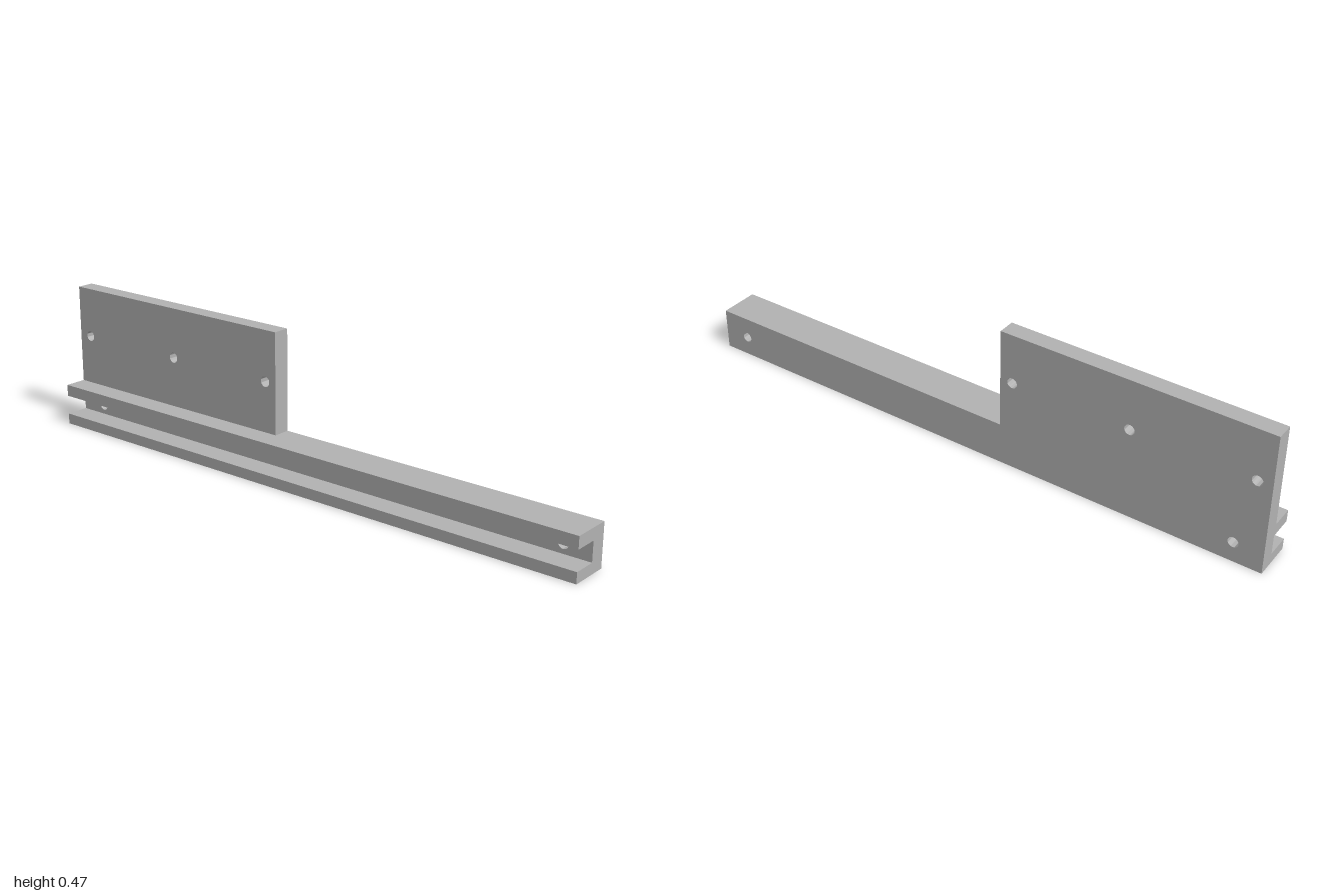
import * as THREE from 'three';
import { toCreasedNormals } from 'three/addons/utils/BufferGeometryUtils.js';

const RIGHT = 0.0655;        // outer face of web and plate
const WEB_INNER = 0.0125;    // bottom of the channel groove
const PLATE_INNER = 0.009;   // inner face of the raised plate
const RAIL_TOP = 0.139;
const HOLE_RADIUS = 0.017;

export function createModel() {
  const group = new THREE.Group();
  group.name = 'mountingRail';
  const grey = new THREE.MeshStandardMaterial({ color: 0xb2b2b2 });
  grey.name = 'grey metal';

  const add = (name, geometry) => {
    const mesh = new THREE.Mesh(geometry, grey);
    mesh.name = name;
    group.add(mesh);
    return mesh;
  };

  // Upright slab in the z-y plane, drilled through along x; holes are [z, y]
  const drilledSlab = (name, zBack, zFront, yLow, yHigh, xInner, holes) => {
    const shape = new THREE.Shape([
      new THREE.Vector2(-zFront, yLow),
      new THREE.Vector2(-zBack, yLow),
      new THREE.Vector2(-zBack, yHigh),
      new THREE.Vector2(-zFront, yHigh),
    ]);
    for (const [z, y] of holes) {
      shape.holes.push(new THREE.Path().absarc(-z, y, HOLE_RADIUS, 0, Math.PI * 2, true));
    }
    const geometry = new THREE.ExtrudeGeometry(shape, {
      depth: RIGHT - xInner, bevelEnabled: false, curveSegments: 32,
    });
    geometry.rotateY(Math.PI / 2);
    geometry.translate(xInner, 0, 0);
    add(name, toCreasedNormals(geometry, Math.PI / 5));
  };

  // Full-length web of the channel, with a hole near each end
  drilledSlab('channelWeb', -1, 1, 0, RAIL_TOP, WEB_INNER, [[0.91, 0.067], [-0.905, 0.067]]);

  // Raised plate over the rear part, with a row of three holes
  drilledSlab('mountingPlate', -1, -0.118, RAIL_TOP, 0.4705, PLATE_INNER,
    [[-0.16, 0.305], [-0.557, 0.305], [-0.953, 0.305]]);

  // Two flanges that close the channel above and below
  const flangeWidth = WEB_INNER + RIGHT;
  for (const [name, low, high] of [['lowerFlange', 0, 0.0355], ['upperFlange', 0.1, RAIL_TOP]]) {
    const flange = add(name, new THREE.BoxGeometry(flangeWidth, high - low, 2));
    flange.position.set((WEB_INNER - RIGHT) / 2, (low + high) / 2, 0);
  }

  return group;
}
